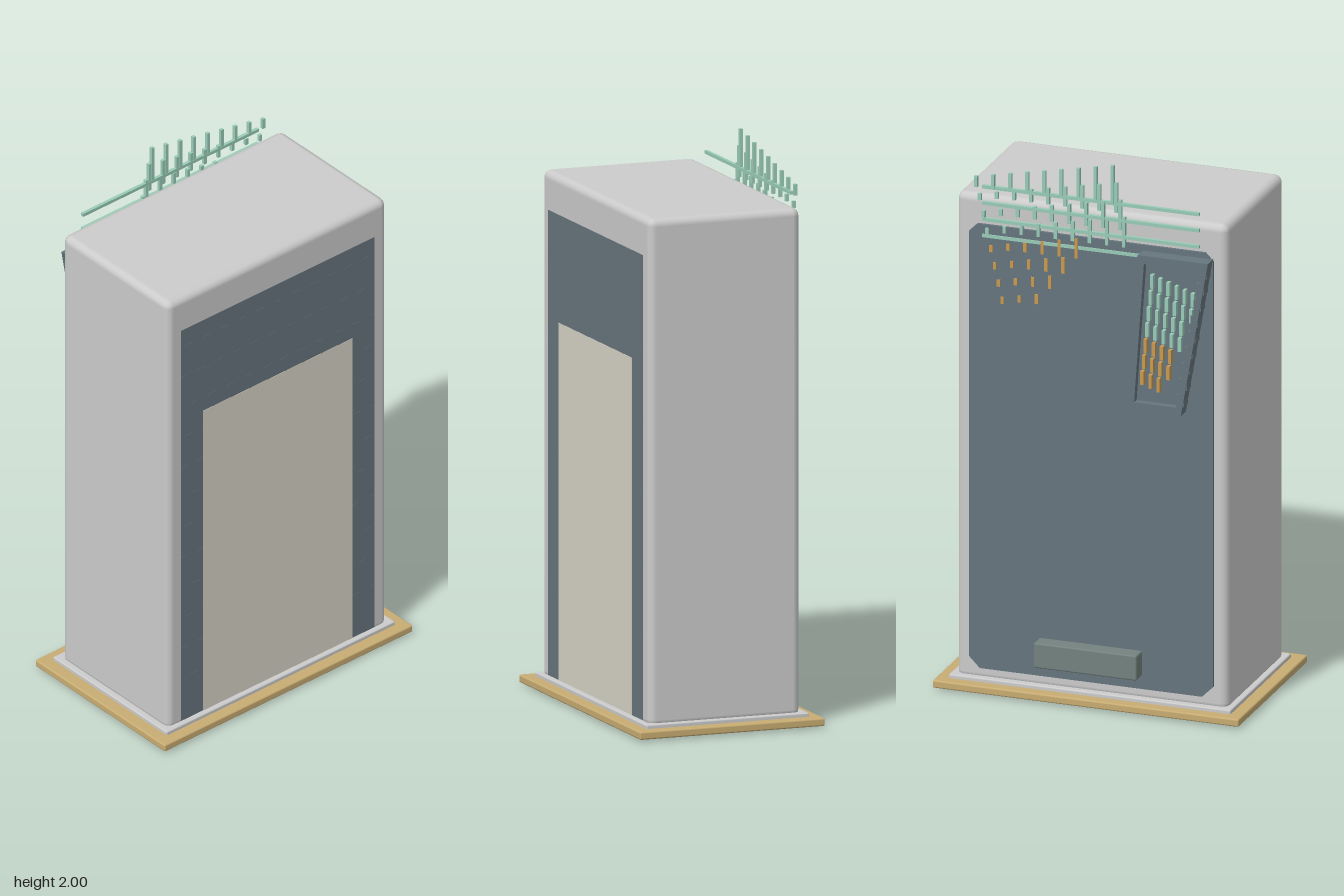
import * as THREE from 'three';
import { RoundedBoxGeometry } from 'three/addons/geometries/RoundedBoxGeometry.js';

const paint = (color) => new THREE.MeshStandardMaterial({ color });
const shell = paint(0xcccccc);
const gold = paint(0xc8ac72);
const slate = paint(0x66757d);
const moss = paint(0x74827f);
const cream = paint(0xd6d3c6);
const teal = paint(0x9accb8);
const amber = paint(0xc89a50);

// Box given by its limits on each axis; r rounds the edges
function block(parent, name, [x0, x1], [y0, y1], [z0, z1], material, r = 0) {
  const size = [x1 - x0, y1 - y0, z1 - z0];
  const geometry = r ? new RoundedBoxGeometry(...size, 2, r) : new THREE.BoxGeometry(...size);
  const mesh = new THREE.Mesh(geometry, material);
  mesh.name = name;
  mesh.position.set((x0 + x1) / 2, (y0 + y1) / 2, (z0 + z1) / 2);
  parent.add(mesh);
  return mesh;
}

// Flat outline extruded from z0 to z1
function plate(parent, name, points, z0, z1, material, hole) {
  const shape = new THREE.Shape(points.map(([x, y]) => new THREE.Vector2(x, y)));
  if (hole) shape.holes.push(new THREE.Path(hole.map(([x, y]) => new THREE.Vector2(x, y))));
  const geometry = new THREE.ExtrudeGeometry(shape, { depth: z1 - z0, bevelEnabled: false });
  const mesh = new THREE.Mesh(geometry, material);
  mesh.name = name;
  mesh.position.z = z0;
  parent.add(mesh);
}

export function createModel() {
  const model = new THREE.Group();
  model.name = 'cabinet';

  // Base and body
  block(model, 'baseTrim', [-0.565, 0.565], [0.006, 0.034], [-0.345, 0.345], gold, 0.006);
  block(model, 'plinth', [-0.52, 0.52], [0, 0.048], [-0.303, 0.303], shell, 0.005);
  block(model, 'body', [-0.5, 0.5], [0.03, 1.825], [-0.28, 0.285], shell, 0.028);

  // Front: dark inlay, ribs across it and a pale door
  block(model, 'frontInlay', [-0.44, 0.44], [0.05, 1.69], [0.27, 0.2855], slate);
  for (let i = 0; i < 12; i++) {
    const y = 1.615 - i * 0.1265;
    block(model, 'frontRib', [-0.44, 0.44], [y - 0.006, y + 0.006], [0.27, 0.286], slate);
  }
  block(model, 'frontDoor', [-0.34, 0.34], [0.05, 1.31], [0.27, 0.2865], cream);

  // Back panel with clipped corners, and its low handle
  plate(model, 'backPanel', [
    [-0.41, 0.08], [0.41, 0.08], [0.45, 0.12], [0.45, 1.69],
    [0.42, 1.72], [-0.42, 1.72], [-0.45, 1.69], [-0.45, 0.12],
  ], -0.29, -0.27, slate);
  block(model, 'backHandle', [-0.19, 0.19], [0.13, 0.222], [-0.35, -0.288], moss, 0.006);

  // Lattice rising above the back edge: rails and slanting rows of shrinking bars
  const lattice = new THREE.Group();
  lattice.name = 'lattice';
  model.add(lattice);
  for (let i = 0; i < 4; i++) {
    const y = 1.86 - i * 0.06;
    block(lattice, 'latticeRail', [-0.4, 0.4], [y - 0.006, y + 0.006], [-0.294, -0.282], teal);
  }
  for (let row = 0; row < 8; row++) {
    for (let col = row < 4 ? 0 : row - 1; col < 9; col++) {
      const x = -0.08 + col * 0.063 - row * 0.014;
      const top = 2 - col * 0.013 - row * 0.062;
      const length = Math.max(0.025, (row ? 0.11 : 0.14) - col * 0.0125);
      block(lattice, 'latticeBar', [x - 0.006, x + 0.006], [top - length, top],
        [-0.295, -0.283], row < 4 ? teal : amber);
    }
  }

  // Tapered tray on the back: floor, raised rim and stepped outer edge
  const tray = new THREE.Group();
  tray.name = 'backTray';
  model.add(tray);
  const outline = [[-0.35, 1.125], [-0.15, 1.125], [-0.19, 1.7], [-0.45, 1.7]];
  const opening = [[-0.332, 1.155], [-0.178, 1.155], [-0.214, 1.67], [-0.425, 1.67]];
  plate(tray, 'trayFloor', outline, -0.315, -0.285, slate);
  plate(tray, 'trayRim', outline, -0.34, -0.315, slate, opening);
  for (let i = 0; i < 9; i++) {
    const y = 1.16 + i * 0.06;
    const x = -0.352 - i * 0.0105;
    block(tray, 'trayStep', [x - 0.008, x + 0.02], [y, y + 0.04], [-0.335, -0.295], slate);
  }

  // Small bars standing in the tray, teal above and amber below
  for (let row = 0; row < 7; row++) {
    for (let col = 0; col < 6 - Math.floor(row / 2); col++) {
      const x = -0.24 - col * 0.03 + row * 0.006;
      const top = 1.63 - row * 0.06 - col * 0.01;
      block(tray, 'trayBar', [x - 0.006, x + 0.006], [top - 0.05, top],
        [-0.334, -0.31], row < 4 ? teal : amber);
    }
  }
  return model;
}
